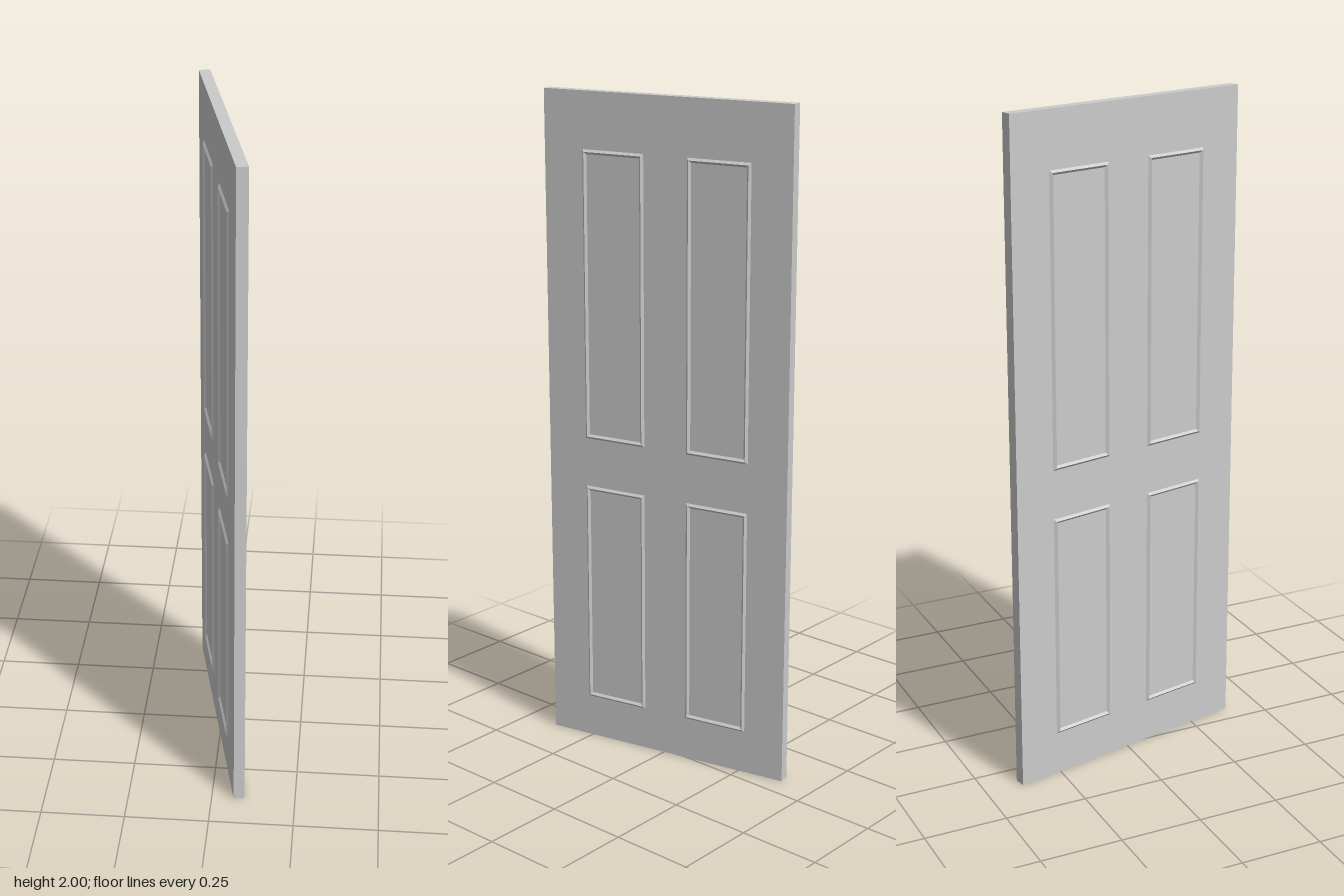
import * as THREE from 'three';

const HEIGHT = 2, WIDTH = 0.793, THICK = 0.033;

// Mitred rectangular ridge in the z/y plane, rising along +x:
// three rectangular loops (outer foot, crest, inner foot) joined by quads.
function mouldingGeometry(w, h, ridge, rise) {
  const loops = [[0, -0.001], [ridge / 2, rise], [ridge, -0.001]].map(([inset, x]) => {
    const a = w / 2 - inset, b = h / 2 - inset;
    return [[x, -b, a], [x, -b, -a], [x, b, -a], [x, b, a]];
  });
  const pos = [];
  for (let k = 0; k < 2; k++) {
    for (let i = 0; i < 4; i++) {
      const j = (i + 1) % 4;
      const a = loops[k][i], b = loops[k][j], c = loops[k + 1][j], d = loops[k + 1][i];
      pos.push(...a, ...b, ...c, ...a, ...c, ...d);
    }
  }
  const geo = new THREE.BufferGeometry();
  geo.setAttribute('position', new THREE.Float32BufferAttribute(pos, 3));
  geo.computeVertexNormals();
  return geo;
}

export function createModel() {
  const mat = new THREE.MeshStandardMaterial({ color: 0xcccccc, flatShading: true });
  const door = new THREE.Group();
  door.name = 'door';

  // Plain slab
  const slab = new THREE.Mesh(new THREE.BoxGeometry(THICK, HEIGHT, WIDTH), mat);
  slab.name = 'doorSlab';
  slab.position.y = HEIGHT / 2;
  door.add(slab);

  // Four panel mouldings on each face: tall ones above, shorter ones below
  const rows = [
    { name: 'upper', bottom: 0.97, top: 1.835 },
    { name: 'lower', bottom: 0.13, top: 0.823 },
  ];
  for (const row of rows) {
    const geo = mouldingGeometry(0.203, row.top - row.bottom, 0.016, 0.006);
    for (const face of [1, -1]) {
      for (const side of [1, -1]) {
        const moulding = new THREE.Mesh(geo, mat);
        moulding.name = row.name + 'PanelMoulding';
        moulding.position.set(face * THICK / 2, (row.top + row.bottom) / 2, side * 0.17);
        if (face < 0) moulding.rotation.y = Math.PI;
        door.add(moulding);
      }
    }
  }

  // The door stands swung at an angle
  door.rotation.y = THREE.MathUtils.degToRad(12);
  const model = new THREE.Group();
  model.name = 'panelDoor';
  model.add(door);
  return model;
}
